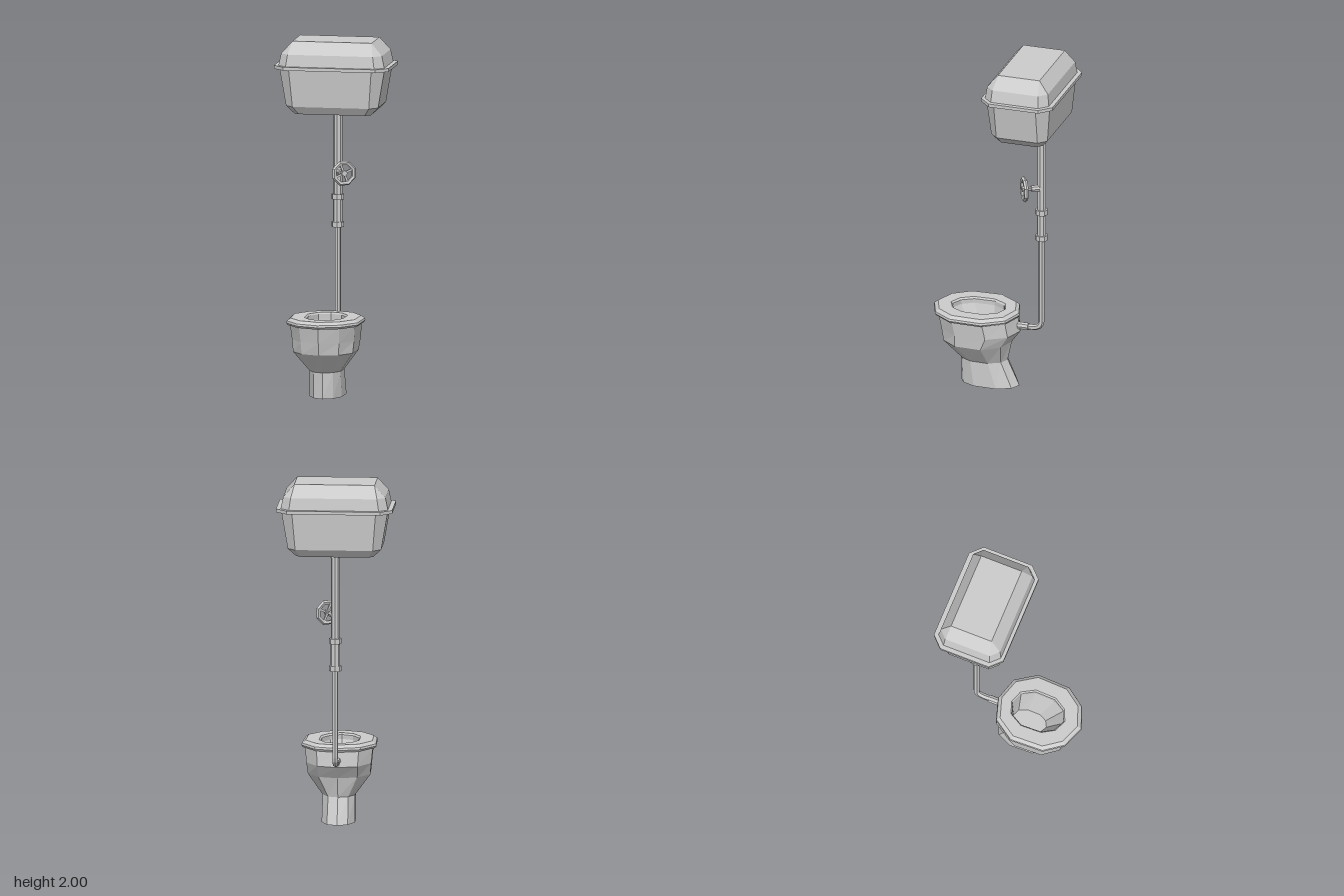
import * as THREE from 'three';

const material = new THREE.MeshStandardMaterial({ color: 0xcccccc, flatShading: true });

function add(parent, name, geometry, x = 0, y = 0, z = 0) {
  const mesh = new THREE.Mesh(geometry, material);
  mesh.name = name;
  mesh.position.set(x, y, z);
  parent.add(mesh);
  return mesh;
}

// Skin between rings of equal point count; caps close the first and last ring.
function loft(rings, capStart = true, capEnd = true) {
  const n = rings[0].length, index = [], last = (rings.length - 1) * n;
  for (let r = 0; r < rings.length - 1; r++) {
    for (let i = 0; i < n; i++) {
      const j = (i + 1) % n, a = r * n, b = a + n;
      index.push(a + i, a + j, b + j, a + i, b + j, b + i);
    }
  }
  for (let i = 1; i < n - 1; i++) {
    if (capStart) index.push(0, i + 1, i);
    if (capEnd) index.push(last, last + i, last + i + 1);
  }
  const g = new THREE.BufferGeometry();
  g.setAttribute('position', new THREE.Float32BufferAttribute(rings.flat(2), 3));
  g.setIndex(index);
  g.computeVertexNormals();
  return g;
}

// Ten-sided pointed oval: half outline from front to back, mirrored in x.
const HALF = [[0, 1], [0.6, 0.81], [0.97, 0.39], [1, -0.37], [0.62, -0.84], [0, -1]];
const OVAL = [...HALF, ...HALF.slice(1, -1).reverse().map(([x, z]) => [-x, z])];
const oval = ([y, halfWidth, front, back]) =>
  OVAL.map(([x, z]) => [x * halfWidth, y, (front + back) / 2 + z * (front - back) / 2]);

// Rectangle with cut corners.
const rect = ([y, w, front, back, c]) => [
  [-w + c, y, front], [w - c, y, front], [w, y, front - c], [w, y, back + c],
  [w - c, y, back], [-w + c, y, back], [-w, y, back + c], [-w, y, front - c],
];

function buildBowl(root) {
  const g = new THREE.Group();
  g.name = 'toiletBowl';
  // pedestal and bowl outside, over the rim and down to the inside floor
  add(g, 'bowl', loft([
    [0, 0.095, 0.235, -0.115],
    [0.15, 0.092, 0.235, -0.045],
    [0.265, 0.177, 0.342, -0.07],
    [0.335, 0.184, 0.358, -0.12],
    [0.425, 0.193, 0.375, -0.105],
    [0.425, 0.107, 0.284, -0.027],
    [0.25, 0.058, 0.18, -0.02],
  ].map(oval)));
  // seat ring with bevelled outer and inner edges
  add(g, 'seat', loft([
    [0.42, 0.107, 0.284, -0.027],
    [0.42, 0.205, 0.385, -0.108],
    [0.432, 0.213, 0.395, -0.115],
    [0.444, 0.21, 0.392, -0.112],
    [0.46, 0.19, 0.37, -0.092],
    [0.46, 0.115, 0.293, -0.033],
    [0.45, 0.107, 0.284, -0.027],
    [0.42, 0.107, 0.284, -0.027],
  ].map(oval), false, false));
  root.add(g);
}

function buildTank(root) {
  const g = new THREE.Group();
  g.name = 'cistern';
  add(g, 'cisternBody', loft([
    [1.585, 0.22, -0.05, -0.32, 0.03],
    [1.63, 0.265, -0.02, -0.355, 0.045],
    [1.85, 0.303, 0.004, -0.375, 0.065],
  ].map(rect)));
  add(g, 'cisternRim', loft([
    [1.843, 0.33, 0.025, -0.4, 0.065],
    [1.862, 0.33, 0.025, -0.4, 0.065],
  ].map(rect)));
  add(g, 'cisternLid', loft([
    [1.855, 0.306, 0.006, -0.376, 0.05],
    [1.93, 0.29, -0.004, -0.366, 0.045],
    [2, 0.228, -0.063, -0.31, 0.001],
  ].map(rect)));
  root.add(g);
}

function buildPipes(root) {
  const g = new THREE.Group();
  g.name = 'plumbing';
  const pz = -0.247;
  // lower pipe bends forward into the back of the bowl
  const path = new THREE.CurvePath();
  const v = (y, z) => new THREE.Vector3(0, y, z);
  path.add(new THREE.LineCurve3(v(0.93, pz), v(0.42, pz)));
  path.add(new THREE.QuadraticBezierCurve3(v(0.42, pz), v(0.37, pz), v(0.37, -0.19)));
  path.add(new THREE.LineCurve3(v(0.37, -0.19), v(0.37, -0.1)));
  add(g, 'lowerPipe', new THREE.TubeGeometry(path, 36, 0.017, 6));
  add(g, 'bowlFitting', new THREE.CylinderGeometry(0.022, 0.022, 0.07, 8), 0, 0.37, -0.135).rotation.x = Math.PI / 2;
  // straight sections and collars: name, bottom, top, radius
  for (const [name, y0, y1, r] of [
    ['upperPipe', 1.09, 1.59, 0.025],
    ['topCollar', 1.572, 1.59, 0.031],
    ['couplingSleeve', 0.93, 1.09, 0.027],
    ['upperCoupling', 1.075, 1.105, 0.036],
    ['lowerCoupling', 0.917, 0.947, 0.036],
  ]) add(g, name, new THREE.CylinderGeometry(r, r, y1 - y0, 8), 0, (y0 + y1) / 2, pz);

  // valve hand wheel, turned to the model's left
  const valve = new THREE.Group();
  valve.name = 'valve';
  valve.position.set(0, 1.237, pz);
  valve.rotation.y = 0.53;
  add(valve, 'valveNeck', new THREE.CylinderGeometry(0.018, 0.022, 0.05, 8), 0, 0, 0.035).rotation.x = Math.PI / 2;
  add(valve, 'valveStem', new THREE.CylinderGeometry(0.01, 0.01, 0.1, 6), 0, 0, 0.06).rotation.x = Math.PI / 2;
  add(valve, 'wheelHub', new THREE.CylinderGeometry(0.017, 0.017, 0.022, 8), 0, 0, 0.103).rotation.x = Math.PI / 2;
  add(valve, 'wheelRim', new THREE.TorusGeometry(0.062, 0.013, 5, 8), 0, 0, 0.1).rotation.z = Math.PI / 8;
  for (let i = 0; i < 2; i++) {
    add(valve, 'wheelSpoke', new THREE.BoxGeometry(0.116, 0.012, 0.01), 0, 0, 0.1).rotation.z = Math.PI / 8 + i * Math.PI / 2;
  }
  g.add(valve);
  root.add(g);
}

export function createModel() {
  const root = new THREE.Group();
  root.name = 'highCisternToilet';
  buildBowl(root);
  buildTank(root);
  buildPipes(root);
  return root;
}
